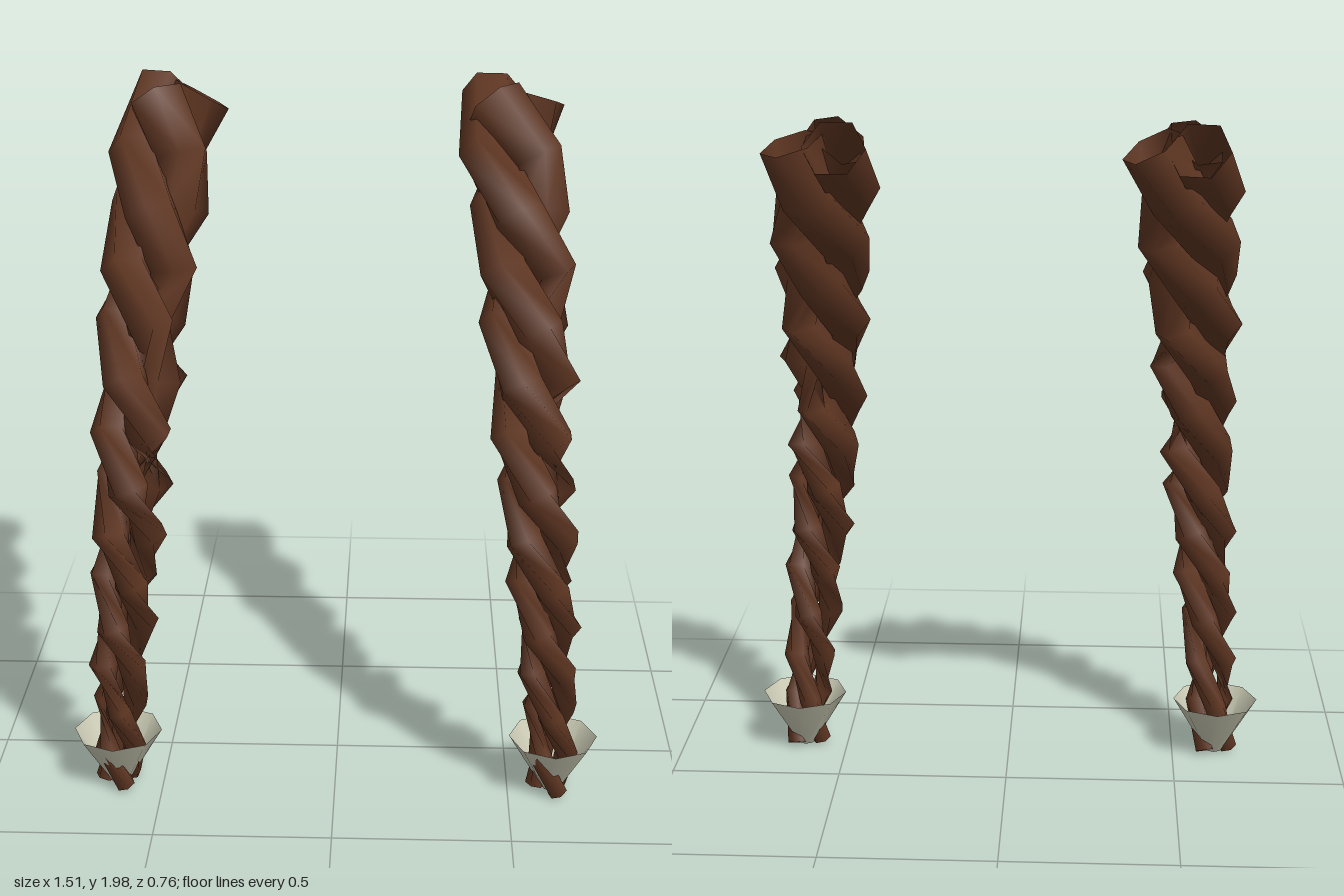
import * as THREE from 'three';

const TURNS = 2.82;
const RINGS = 14;
const SIDES = 6;
const UP = new THREE.Vector3(0, 1, 0);
const lerp = THREE.MathUtils.lerp;

// Radius of one strand and its distance from the braid's core, t = 0 at the foot
const strandRadius = (t) => lerp(0.029, 0.084, t);
const coreDistance = (t) => lerp(0.044, 0.079, t);

// Core line of a braid, evenly spaced in height and mirrored by side
function coreCurve(side) {
  const xz = [
    [0.625, 0.22], [0.616, 0.253], [0.602, 0.273], [0.585, 0.288], [0.567, 0.281], [0.55, 0.26],
    [0.536, 0.205], [0.524, 0.115], [0.508, 0.018], [0.488, -0.112], [0.463, -0.255],
  ];
  return new THREE.CatmullRomCurve3(
    xz.map(([x, z], i) => new THREE.Vector3(side * x, 0.02 + 0.191 * i, z)));
}

// One strand winding around the core: a coarse six-sided tube, tapering to the foot
function strandGeometry(core, phase) {
  const path = [];
  for (let i = 0; i <= RINGS; i++) {
    const t = i / RINGS;
    const angle = phase - (1 - t) * TURNS * Math.PI * 2;
    const d = coreDistance(t);
    const p = core.getPoint(t);
    p.x += d * Math.cos(angle);
    p.z += d * Math.sin(angle);
    path.push(p);
  }
  const positions = [];
  const indices = [];
  path.forEach((centre, i) => {
    const ahead = path[Math.min(i + 1, RINGS)];
    const behind = path[Math.max(i - 1, 0)];
    const tangent = new THREE.Vector3().subVectors(ahead, behind).normalize();
    // Level frame: the rings turn with the strand, which pinches it where it stands upright
    const across = new THREE.Vector3().crossVectors(UP, tangent).normalize();
    const outward = new THREE.Vector3().crossVectors(tangent, across);
    const r = strandRadius(i / RINGS);
    for (let j = 0; j < SIDES; j++) {
      const a = (j / SIDES) * Math.PI * 2;
      const p = centre.clone()
        .addScaledVector(across, r * Math.cos(a))
        .addScaledVector(outward, r * Math.sin(a));
      positions.push(p.x, p.y, p.z);
      if (i < RINGS) {
        const b = i * SIDES + j;
        const c = i * SIDES + ((j + 1) % SIDES);
        indices.push(b, c, b + SIDES, c, c + SIDES, b + SIDES);
      }
    }
  });
  const geometry = new THREE.BufferGeometry();
  geometry.setAttribute('position', new THREE.Float32BufferAttribute(positions, 3));
  geometry.setIndex(indices);
  geometry.computeVertexNormals();
  return geometry;
}

export function createModel() {
  const model = new THREE.Group();
  model.name = 'braids';
  const brown = new THREE.MeshStandardMaterial({ color: 0x5f3622, side: THREE.DoubleSide });
  brown.name = 'brown';
  const ivory = new THREE.MeshStandardMaterial({ color: 0xc9c9b3, side: THREE.DoubleSide });
  ivory.name = 'ivory';

  for (const side of [-1, 1]) {
    const braid = new THREE.Group();
    braid.name = side > 0 ? 'leftBraid' : 'rightBraid';
    const core = coreCurve(side);

    // Three strands, a third of a turn apart
    for (let k = 0; k < 3; k++) {
      const strand = new THREE.Mesh(strandGeometry(core, (k * Math.PI * 2) / 3), brown);
      strand.name = 'strand' + (k + 1);
      braid.add(strand);
    }

    // Open eight-sided cuff around the foot
    const cuff = new THREE.Mesh(new THREE.CylinderGeometry(0.126, 0.027, 0.165, 8, 1, true), ivory);
    cuff.name = 'cuff';
    cuff.position.set(side * 0.627, 0.0955, 0.215);
    braid.add(cuff);
    model.add(braid);
  }
  return model;
}
